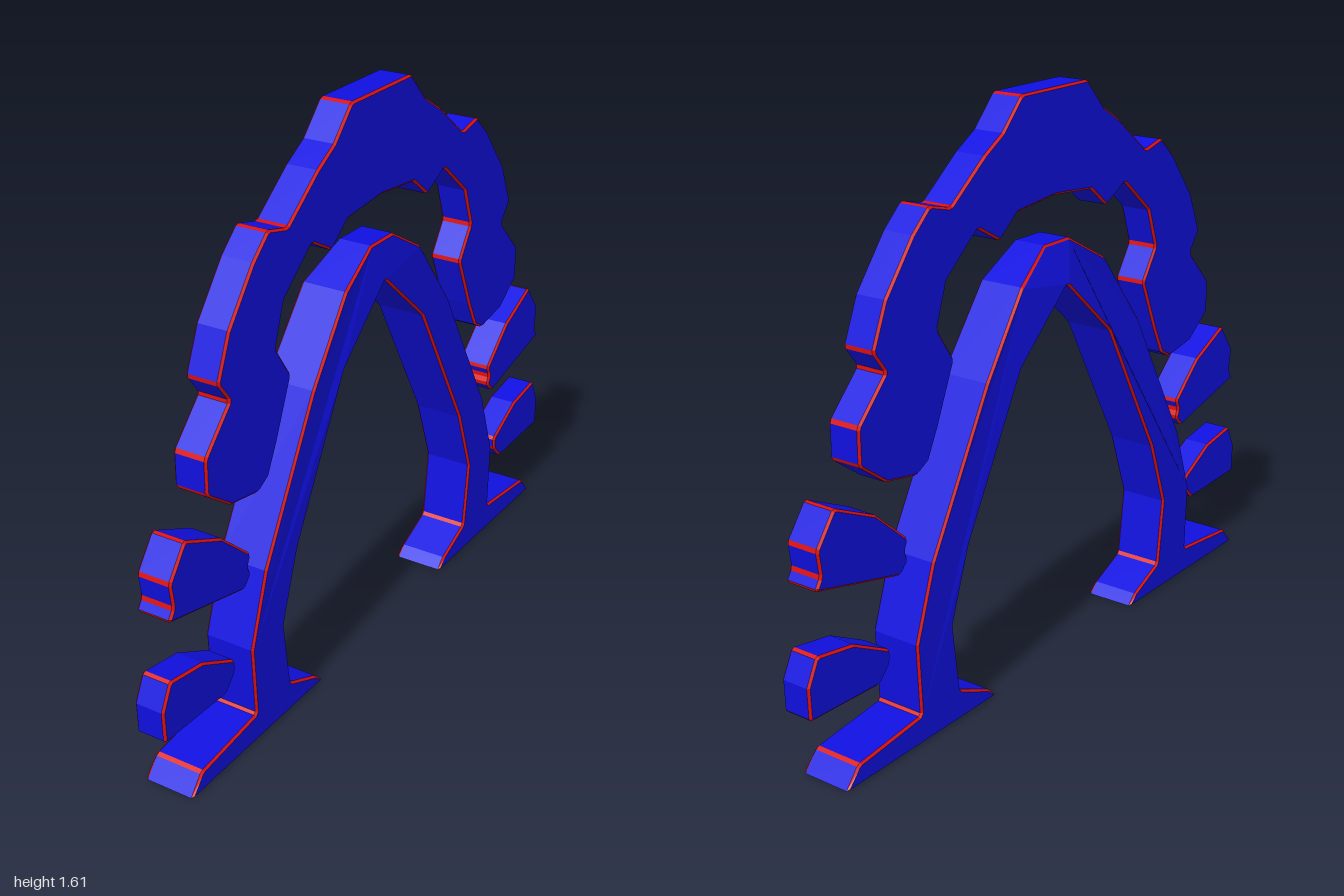
import * as THREE from 'three';

const BEVEL = 0.006;
const blue = new THREE.MeshStandardMaterial({ color: 0x1010e0, flatShading: true });
const red = new THREE.MeshStandardMaterial({ color: 0xdd1010, flatShading: true });

// Snip the sharp convex and concave corners so they carry a narrow trim facet
function snipCorners(points) {
  const out = [];
  points.forEach((p, i) => {
    const a = points[(i + points.length - 1) % points.length].clone().sub(p).normalize();
    const b = points[(i + 1) % points.length].clone().sub(p).normalize();
    const turn = Math.PI - Math.acos(THREE.MathUtils.clamp(a.dot(b), -1, 1));
    if (turn > 0.65 && turn < 2) {
      out.push(p.clone().addScaledVector(a, 0.007), p.clone().addScaledVector(b, 0.007));
    } else out.push(p);
  });
  return out;
}

// Slab with a chamfered rim; the chamfers and snipped corners become the trim
function slab(name, outline, x0, x1, warp) {
  const shape = new THREE.Shape(snipCorners(outline.map(([z, y]) => new THREE.Vector2(-z, y))));
  const geo = new THREE.ExtrudeGeometry(shape, {
    depth: x1 - x0 - 2 * BEVEL, steps: 1, curveSegments: 1,
    bevelEnabled: true, bevelSegments: 1,
    bevelSize: BEVEL, bevelThickness: BEVEL, bevelOffset: -BEVEL,
  });
  const flat = geo.index ? geo.toNonIndexed() : geo;
  const pos = flat.attributes.position;
  const body = [], trim = [];
  const tri = new THREE.Triangle(), n = new THREE.Vector3();
  for (let i = 0; i < pos.count; i += 3) {
    tri.setFromAttributeAndIndices(pos, i, i + 1, i + 2);
    tri.getNormal(n);
    const corners = [tri.a, tri.b, tri.c];
    const width = Math.max(...corners.map((p, k) => {
      const q = corners[(k + 1) % 3];
      return Math.hypot(p.x - q.x, p.y - q.y);
    }));
    const tilt = Math.abs(n.z);
    const isTrim = (tilt > 0.2 && tilt < 0.95) || (tilt <= 0.2 && width < 0.016);
    for (const p of corners) {
      const v = new THREE.Vector3(p.z + x0 + BEVEL, p.y, -p.x);
      if (warp) warp(v);
      (isTrim ? trim : body).push(v.x, v.y, v.z);
    }
  }
  const group = new THREE.Group();
  group.name = name;
  for (const [part, list, material] of [['Body', body, blue], ['Trim', trim, red]]) {
    const g = new THREE.BufferGeometry();
    g.setAttribute('position', new THREE.Float32BufferAttribute(list, 3));
    g.computeVertexNormals();
    const mesh = new THREE.Mesh(g, material);
    mesh.name = name + part;
    group.add(mesh);
  }
  return group;
}

// Complete a half outline (z >= 0) with its mirror image
function mirrored(half) {
  const other = half.filter(([z]) => z > 0).map(([z, y]) => [-z, y]).reverse();
  return [...half, ...other];
}

export function createModel() {
  const model = new THREE.Group();
  model.name = 'archway';

  // Inner arch with spreading feet, narrowing at its crown
  const arch = mirrored([
    [0.055, 1.2], [0.19, 1.12], [0.35, 0.905], [0.58, 0.49], [0.65, 0.285],
    [0.64, 0.08], [0.88, 0.055], [0.925, 0], [0.33, 0], [0.36, 0.03],
    [0.48, 0.083], [0.505, 0.285], [0.435, 0.485], [0.205, 0.905], [0, 1.087],
  ]);
  model.add(slab('arch', arch, -0.078, 0.072, (v) => {
    const t = THREE.MathUtils.clamp((v.y - 1.09) / 0.11, 0, 1);
    v.x *= v.x < 0 ? 1 - 0.48 * t : 1 - 0.15 * t;
  }));

  // Outer crown of merged stones
  const crown = mirrored([
    [0.145, 1.61], [0.225, 1.525], [0.3, 1.48], [0.435, 1.375], [0.515, 1.395],
    [0.58, 1.335], [0.685, 1.2], [0.735, 1.08], [0.69, 1.02], [0.795, 0.91],
    [0.795, 0.81], [0.7, 0.74], [0.585, 0.72], [0.54, 0.745], [0.5, 0.825],
    [0.432, 0.985], [0.495, 1.08], [0.455, 1.195], [0.33, 1.3], [0.24, 1.25],
    [0.165, 1.31], [0, 1.325],
  ]);
  model.add(slab('crown', crown, -0.038, 0.06));

  // Loose stones on each side
  const upper = [
    [0.89, 0.738], [0.745, 0.67], [0.628, 0.565], [0.642, 0.535], [0.63, 0.508],
    [0.66, 0.475], [0.965, 0.548], [0.945, 0.58], [0.955, 0.65],
  ];
  const lower = [
    [0.965, 0.377], [0.835, 0.355], [0.703, 0.285], [0.703, 0.248],
    [0.745, 0.203], [0.997, 0.213], [1, 0.305],
  ];
  for (const [side, s] of [['Front', 1], ['Back', -1]]) {
    const place = (pts) => pts.map(([z, y]) => [s * z, y]);
    model.add(slab('upperStone' + side, place(upper), -0.04, 0.062));
    model.add(slab('lowerStone' + side, place(lower), -0.034, 0.055));
  }
  return model;
}
